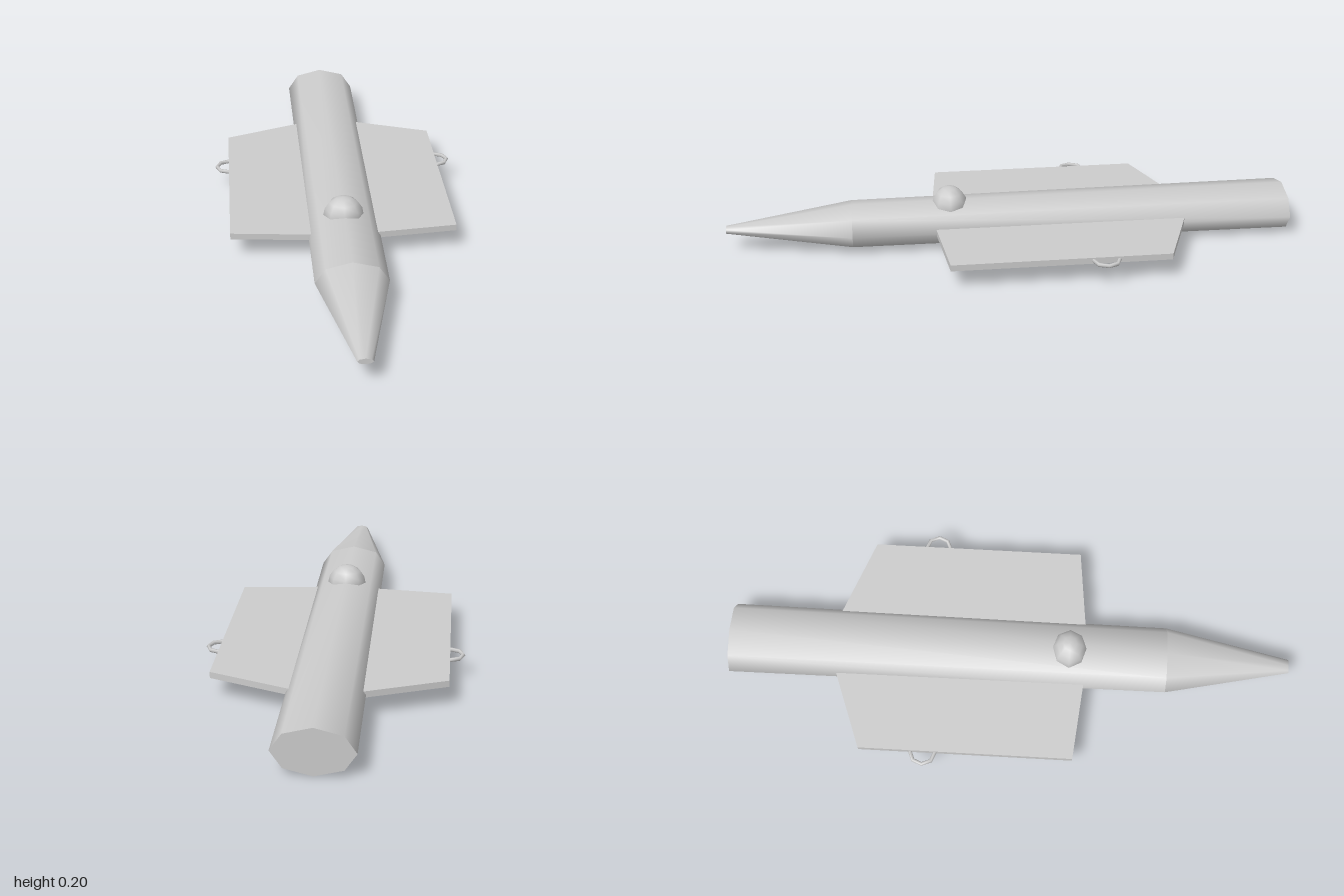
import * as THREE from 'three';

export function createModel() {
  const model = new THREE.Group();
  const material = new THREE.MeshStandardMaterial({ color: 0xcccccc });
  const midY = 0.08;

  const add = (name, geometry, x, y, z) => {
    const mesh = new THREE.Mesh(geometry, material);
    mesh.name = name;
    mesh.position.set(x, y, z);
    model.add(mesh);
    return mesh;
  };

  // Eight-sided tube along z, flattened; each end has its own half width and half height
  function taperedSection(name, zBack, back, zFront, front) {
    const length = zFront - zBack;
    const geometry = new THREE.CylinderGeometry(1, 1, length, 8, 1);
    geometry.rotateX(Math.PI / 2);
    const p = geometry.attributes.position;
    for (let i = 0; i < p.count; i++) {
      const [rx, ry] = p.getZ(i) > 0 ? front : back;
      p.setXY(i, p.getX(i) * rx, p.getY(i) * ry);
    }
    geometry.computeVertexNormals();
    // Close the shading seam of the side wall (first and last column coincide)
    const n = geometry.attributes.normal;
    for (const row of [0, 9]) {
      const v = new THREE.Vector3().fromBufferAttribute(n, row)
        .add(new THREE.Vector3().fromBufferAttribute(n, row + 8)).normalize();
      n.setXYZ(row, v.x, v.y, v.z);
      n.setXYZ(row + 8, v.x, v.y, v.z);
    }
    add(name, geometry, 0, midY, (zBack + zFront) / 2);
  }

  taperedSection('fuselage', -1, [0.13, 0.08], 0.56, [0.122, 0.073]);
  taperedSection('noseCone', 0.56, [0.122, 0.073], 1, [0.025, 0.01]);

  // Cockpit dome, half sunk into the fuselage
  add('cockpitDome', new THREE.SphereGeometry(0.07, 8, 8), 0, 0.135, 0.213).scale.z = 0.9;

  for (const side of [1, -1]) {
    const label = side > 0 ? 'left' : 'right';

    // Flat wing slab; shape y becomes -z once laid down
    const outline = new THREE.Shape([
      [0, -0.28], [0.39, -0.24], [0.39, 0.512], [0, 0.66],
    ].map(([x, y]) => new THREE.Vector2(x * side, y)));
    const wing = new THREE.ExtrudeGeometry(outline, { depth: 0.022, bevelEnabled: false });
    wing.rotateX(-Math.PI / 2);
    add(label + 'Wing', wing, 0, 0.071, 0);

    // Small ring on the wing tip, half buried in the wing
    const ring = new THREE.TorusGeometry(0.044, 0.007, 6, 8);
    ring.rotateX(Math.PI / 2);
    add(label + 'TipRing', ring, 0.39 * side, 0.082, -0.285);
  }

  return model;
}
